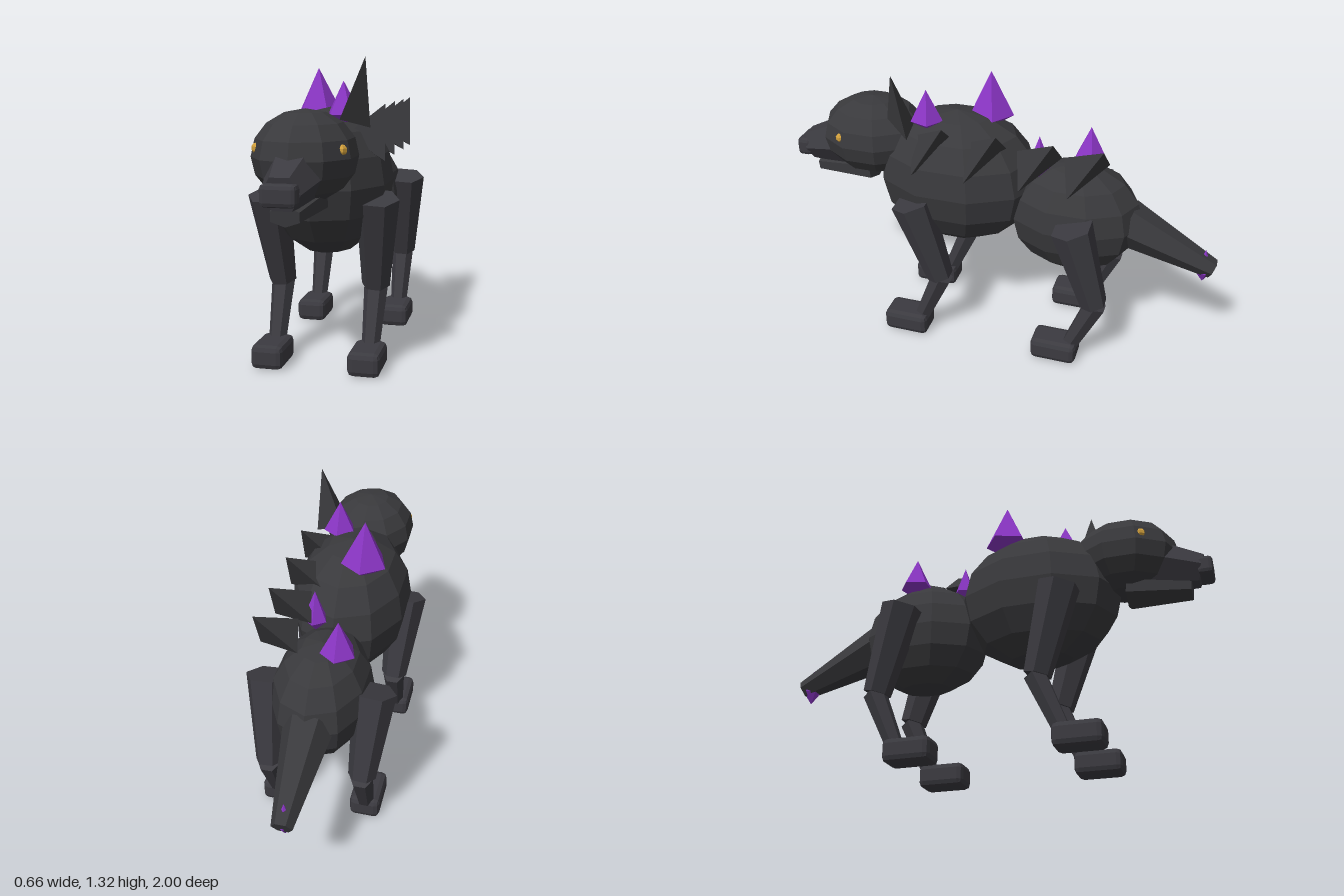
import * as THREE from 'three';
import { RoundedBoxGeometry } from 'three/addons/geometries/RoundedBoxGeometry.js';

function makeMaterial(name, color) {
  const material = new THREE.MeshStandardMaterial({ color, flatShading: true });
  material.name = name;
  return material;
}

export function createModel() {
  const model = new THREE.Group();
  model.name = 'crystalBeast';
  const hide = makeMaterial('charcoalHide', 0x39393c);
  const limb = makeMaterial('slateLimb', 0x3b3a40);
  const purple = makeMaterial('purpleCrystal', 0x8a35c4);
  const gold = makeMaterial('goldEye', 0xd2a03c);

  const add = (name, geometry, material, parent = model) => {
    const mesh = new THREE.Mesh(geometry, material);
    mesh.name = name;
    parent.add(mesh);
    return mesh;
  };

  // Faceted ellipsoid with a vertex line on the front
  const blob = (name, [x, y, z], [rx, ry, rz], tilt = 0) => {
    const geometry = new THREE.SphereGeometry(1, 10, 8).rotateY(Math.PI / 2);
    geometry.scale(rx, ry, rz).rotateX(tilt);
    add(name, geometry, hide).position.set(x, y, z);
  };

  // Tapered six-sided bar from a to b
  const bar = (name, a, b, ra, rb, material, parent = model, spin = Math.PI / 6) => {
    const start = new THREE.Vector3(...a);
    const axis = new THREE.Vector3(...b).sub(start);
    const geometry = new THREE.CylinderGeometry(rb, ra, axis.length(), 6).rotateY(spin);
    const mesh = add(name, geometry, material, parent);
    mesh.position.copy(start).addScaledVector(axis, 0.5);
    mesh.quaternion.setFromUnitVectors(new THREE.Vector3(0, 1, 0), axis.normalize());
    return mesh;
  };

  // Three-sided spike; the base runs counter-clockwise seen from the tip
  const spike = (name, tip, a, b, c) => {
    const faces = [a, b, tip, b, c, tip, c, a, tip, a, c, b];
    const geometry = new THREE.BufferGeometry();
    geometry.setAttribute('position', new THREE.Float32BufferAttribute(faces.flat(), 3));
    geometry.computeVertexNormals();
    return add(name, geometry, hide);
  };

  // Torso
  blob('chest', [0, 0.785, 0.205], [0.275, 0.32, 0.385]);
  blob('hindquarters', [0, 0.66, -0.345], [0.22, 0.265, 0.31]);

  // Head
  blob('head', [0, 0.935, 0.615], [0.21, 0.185, 0.245]);
  bar('muzzle', [0, 0.88, 0.74], [0, 0.83, 0.95], 0.125, 0.075, limb);
  const jaw = bar('jaw', [0, 0.765, 0.62], [0, 0.74, 0.9], 0.105, 0.065, hide, model, 0);
  jaw.scale.z = 0.6;
  add('nose', new RoundedBoxGeometry(0.14, 0.085, 0.07, 1, 0.018), limb)
    .position.set(0, 0.83, 0.965);
  for (const side of [1, -1]) {
    add('eye', new THREE.SphereGeometry(0.023, 6, 5), gold).position.set(side * 0.167, 0.97, 0.71);
  }

  // Single ear and the row of spikes along the left flank
  spike('ear', [0.2, 1.32, 0.43], [0.11, 1.07, 0.5], [0.21, 1.03, 0.37], [0.09, 1.06, 0.38]);
  for (const shift of [0, 0.21, 0.455, 0.695]) {
    spike('flankSpike', [0.24, 1.12, -0.5],
      [0.11, 1.0, -0.31], [0.265, 0.89, -0.36], [0.06, 0.97, -0.5]).position.z = shift;
  }

  // Tail
  bar('tail', [0, 0.66, -0.58], [0, 0.485, -0.985], 0.11, 0.045, hide);

  // Crystals: x, tip height, z, radius, upper height, lower height
  const crystals = [
    [-0.085, 1.27, 0.075, 0.105, 0.2, 0.07],
    [0.085, 1.22, 0.32, 0.075, 0.14, 0.05],
    [0.07, 1.065, -0.19, 0.055, 0.14, 0.06],
    [-0.08, 1.065, -0.385, 0.078, 0.15, 0.06],
    [0, 0.58, -0.945, 0.04, 0.11, 0.06],
  ];
  for (const [x, tip, z, radius, upper, lower] of crystals) {
    const profile = [[0, -lower], [radius, 0], [0, upper]].map(p => new THREE.Vector2(...p));
    const crystal = add('crystal', new THREE.LatheGeometry(profile, 5, Math.PI), purple);
    crystal.position.set(x, tip - upper, z);
  }

  // Legs, mirrored and repeated for front and back
  for (const [name, z] of [['frontLeg', 0], ['hindLeg', -0.735]]) {
    for (const side of [1, -1]) {
      const leg = new THREE.Group();
      leg.name = name;
      leg.position.z = z;
      bar('upperLeg', [side * 0.212, 0.335, 0.24], [side * 0.237, 0.735, 0.352],
        0.062, 0.095, limb, leg);
      bar('lowerLeg', [side * 0.21, 0.09, 0.335], [side * 0.212, 0.335, 0.23],
        0.04, 0.053, limb, leg);
      add('paw', new RoundedBoxGeometry(0.14, 0.105, 0.215, 1, 0.025), limb, leg)
        .position.set(side * 0.21, 0.0525, 0.41);
      model.add(leg);
    }
  }
  return model;
}
